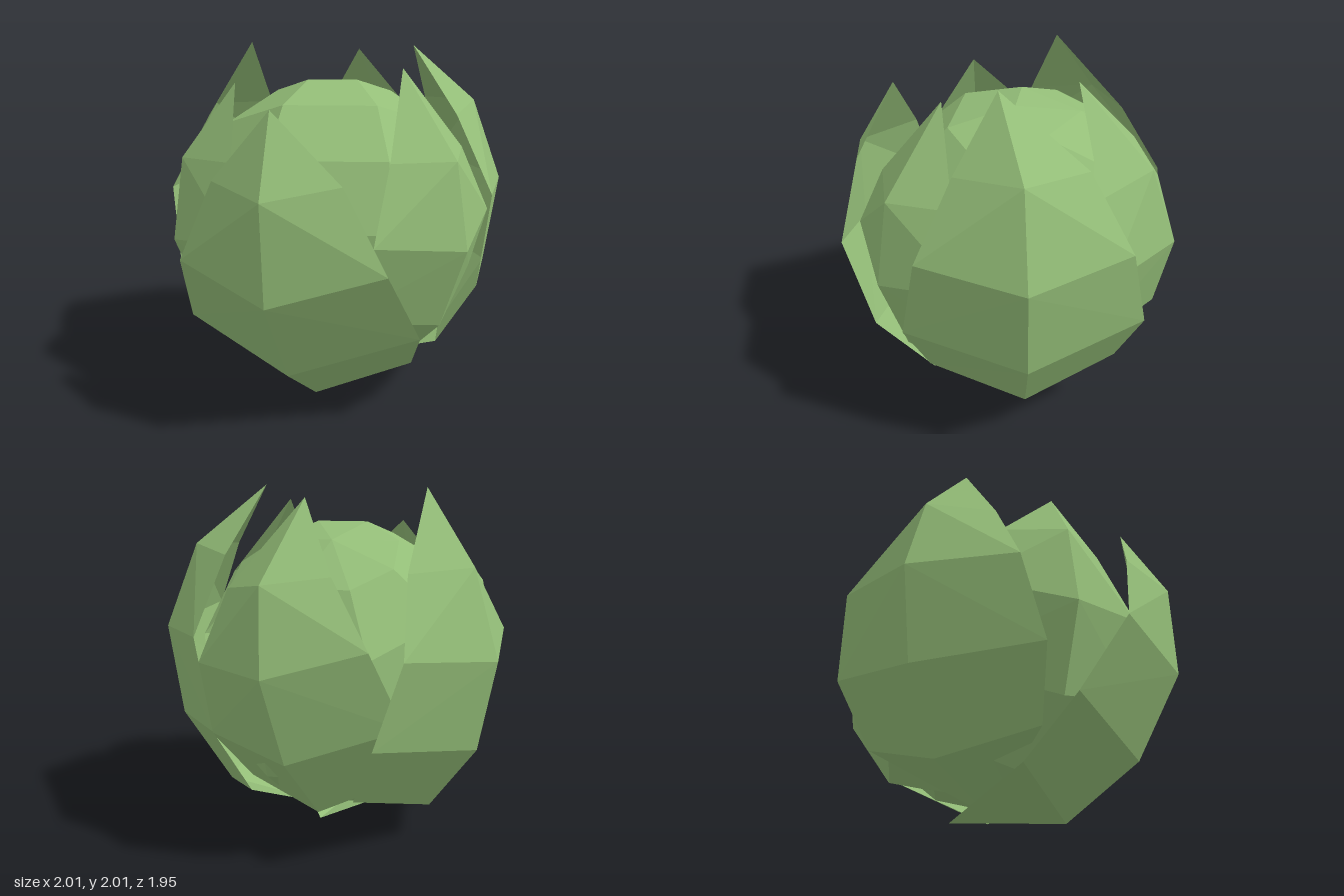
import * as THREE from 'three';

const rad = THREE.MathUtils.degToRad;
const CENTRE_Y = 0.95;

// One cupped leaf facing +z around the head's centre.
// Rows: [mid radius, mid height, edge radius, edge height, edge half angle]
const ROWS = [
  [0.84, 0.71, 0.72, 0.68, 28],
  [1.03, 0.23, 0.96, 0.28, 35],
  [0.96, -0.30, 0.95, -0.20, 43],
  [0.69, -0.73, 0.74, -0.58, 46],
];

function leafGeometry(tip) {
  const base = [0, -0.92, 0.07];
  const rows = ROWS.map(([r, y, er, ey, angle]) => {
    const x = er * Math.sin(rad(angle));
    const z = er * Math.cos(rad(angle));
    return [[-x, ey, z], [0, y, r], [x, ey, z]];
  });
  const points = [];
  const tri = (a, b, c) => points.push(...a, ...b, ...c);
  for (let c = 0; c < 2; c++) {
    tri(tip, rows[0][c], rows[0][c + 1]);
    for (let r = 0; r < rows.length - 1; r++) {
      const [a, b] = [rows[r][c], rows[r][c + 1]];
      const [d, e] = [rows[r + 1][c], rows[r + 1][c + 1]];
      // mirror the diagonal so both halves match
      if (c === 0) { tri(a, d, b); tri(b, d, e); }
      else { tri(a, d, e); tri(a, e, b); }
    }
    tri(rows[3][c], base, rows[3][c + 1]);
  }
  const geometry = new THREE.BufferGeometry();
  geometry.setAttribute('position', new THREE.Float32BufferAttribute(points, 3));
  geometry.computeVertexNormals();
  return geometry;
}

export function createModel() {
  const model = new THREE.Group();
  model.name = 'cabbage';
  const green = new THREE.MeshStandardMaterial({
    color: 0x94be78, flatShading: true, side: THREE.DoubleSide,
  });
  green.name = 'leaf green';

  // Solid inner head, its pole leaning to the back left
  const heart = new THREE.Mesh(new THREE.SphereGeometry(0.86, 8, 7).rotateY(rad(22.5)), green);
  heart.name = 'innerHead';
  heart.position.y = CENTRE_Y;
  heart.rotation.set(rad(-25), rad(-44), 0, 'YXZ');
  model.add(heart);

  // Wrapping outer leaves: yaw, outward pitch, roll (degrees), scale, tip position
  const leaves = [
    ['frontLeftLeaf', 57, 0, 1, 1.015, [0.31, 2.0, 0.34]],
    ['backLeaf', 198, 3, -1, 0.98, [-0.23, 2.0, -0.47]],
    ['frontLeaf', 5, 11, 0, 0.93, [0.05, 1.9, 0.51]],
    ['frontRightLeaf', -59, 20.5, 2, 1.04, [-0.74, 1.74, 0.37]],
    ['rightLeaf', -109, 13, 0, 0.92, [-0.6, 1.82, -0.12]],
    ['backLeftLeaf', 122, 4, 9, 0.92, [0.35, 1.95, -0.15]],
  ];
  for (const [name, yaw, pitch, roll, scale, tip] of leaves) {
    const leaf = new THREE.Mesh(undefined, green);
    leaf.name = name;
    leaf.position.y = CENTRE_Y;
    leaf.rotation.set(rad(pitch), rad(yaw), rad(roll), 'YXZ');
    leaf.scale.setScalar(scale);
    leaf.updateMatrix();
    const localTip = new THREE.Vector3(...tip).applyMatrix4(leaf.matrix.clone().invert());
    leaf.geometry = leafGeometry(localTip.toArray());
    model.add(leaf);
  }
  return model;
}
